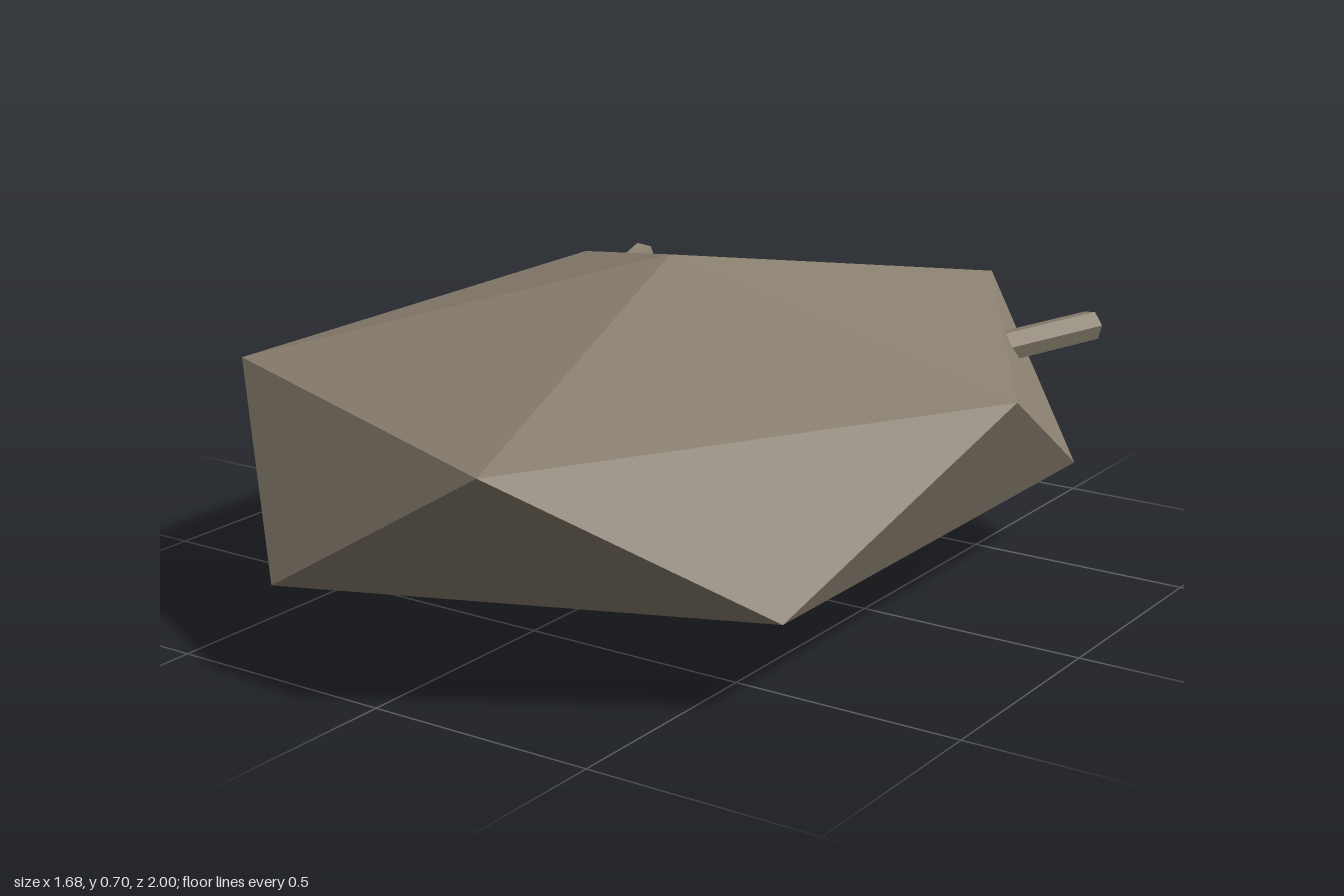
import * as THREE from 'three';
import { ConvexGeometry } from 'three/addons/geometries/ConvexGeometry.js';

const stone = new THREE.MeshStandardMaterial({ color: 0x8a8070, flatShading: true });
stone.name = 'warm grey stone';

// Closed straight peg running from one point to another
function peg(name, from, to, radiusStart, radiusEnd, sides) {
  const a = new THREE.Vector3(...from);
  const b = new THREE.Vector3(...to);
  const mesh = new THREE.Mesh(
    new THREE.CylinderGeometry(radiusEnd, radiusStart, a.distanceTo(b), sides), stone);
  mesh.name = name;
  mesh.position.copy(a).add(b).multiplyScalar(0.5);
  mesh.quaternion.setFromUnitVectors(new THREE.Vector3(0, 1, 0), b.sub(a).normalize());
  return mesh;
}

export function createModel() {
  const group = new THREE.Group();
  group.name = 'facetedRock';

  // Flattened twenty-sided body: two poles and two staggered rings of five
  const points = [new THREE.Vector3(0, 0.705, 0), new THREE.Vector3(0, 0, 0)];
  for (let i = 0; i < 5; i++) {
    const angle = (i * Math.PI * 2) / 5;
    const x = 0.84 * Math.cos(angle);
    const z = 1.0515 * Math.sin(angle);
    points.push(new THREE.Vector3(x, 0.51, z), new THREE.Vector3(-x, 0.197, -z));
  }
  const body = new THREE.Mesh(new ConvexGeometry(points), stone);
  body.name = 'body';
  group.add(body);

  // Pair of six-sided pegs splayed out at the back
  for (const [name, side] of [['leftPeg', 1], ['rightPeg', -1]]) {
    group.add(peg(name, [side * 0.525, 0.463, -0.5], [side * 0.626, 0.472, -0.787], 0.036, 0.036, 6));
  }

  // Tiny chip just breaking the surface behind the upper edge
  group.add(peg('chip', [-0.29, 0.487, -0.782], [-0.352, 0.492, -0.772], 0.013, 0.003, 3));

  return group;
}
